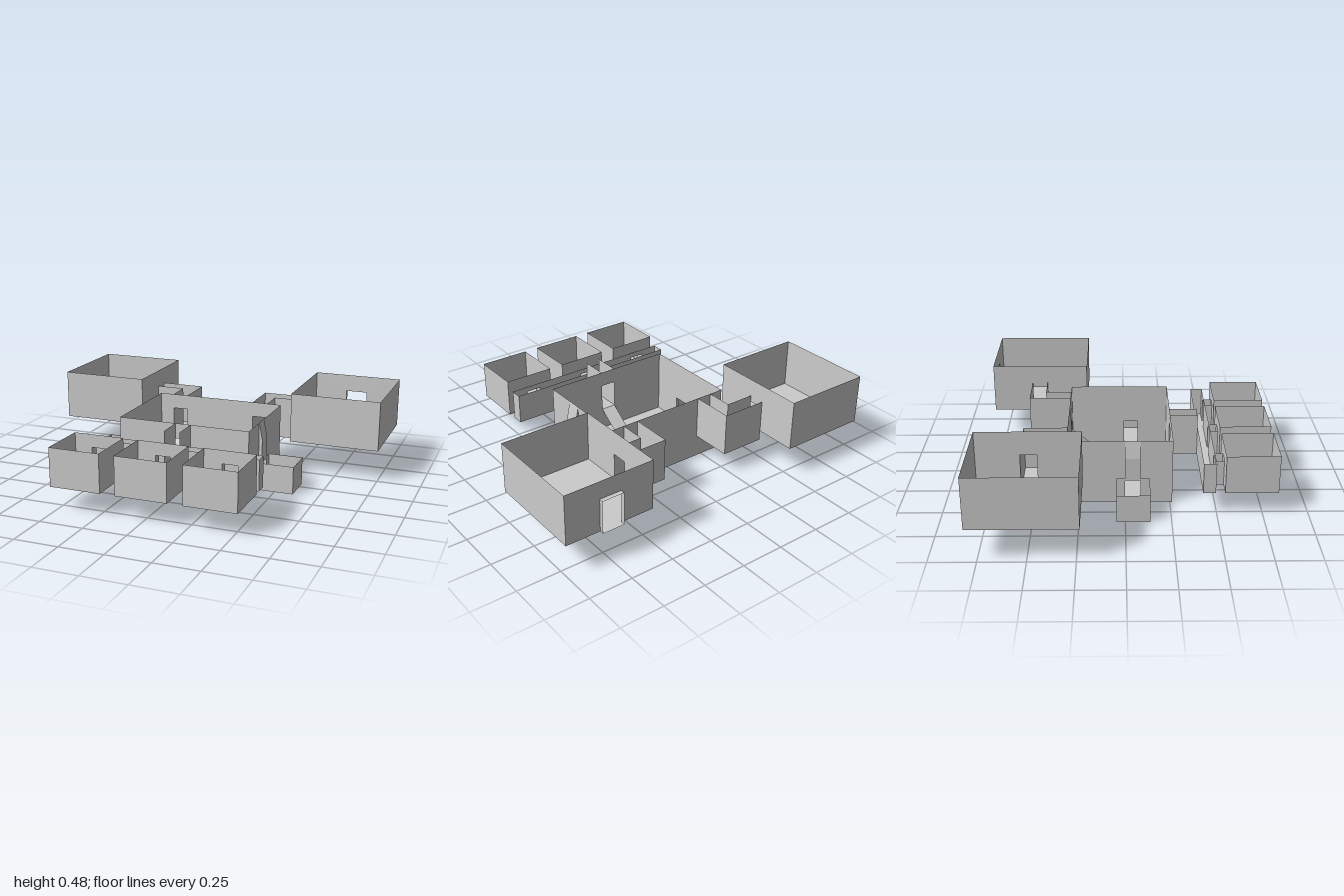
import * as THREE from 'three';

const material = new THREE.MeshStandardMaterial({ color: 0xcccccc, side: THREE.DoubleSide, flatShading: true });

function add(parent, name, geometry) {
  const mesh = new THREE.Mesh(geometry, material);
  mesh.name = name;
  parent.add(mesh);
  return mesh;
}

function group(parent, name) {
  const g = new THREE.Group();
  g.name = name;
  parent.add(g);
  return g;
}

// Thin upright wall along 'x' or 'z' at a fixed offset; doors are [from, to, bottom, top] in order
function wall(parent, name, axis, offset, a, b, y0, y1, doors = []) {
  const shape = new THREE.Shape();
  shape.moveTo(a, y0);
  for (const [d0, d1, bottom, top] of doors) {
    if (bottom > y0) {
      const hole = new THREE.Path();
      hole.moveTo(d0, bottom).lineTo(d0, top).lineTo(d1, top).lineTo(d1, bottom).closePath();
      shape.holes.push(hole);
    } else {
      shape.lineTo(d0, y0).lineTo(d0, top).lineTo(d1, top).lineTo(d1, y0);
    }
  }
  shape.lineTo(b, y0).lineTo(b, y1).lineTo(a, y1).closePath();
  const geometry = new THREE.ShapeGeometry(shape);
  if (axis === 'z') geometry.rotateY(-Math.PI / 2).translate(offset, 0, 0);
  else geometry.translate(0, 0, offset);
  return add(parent, name, geometry);
}

// Floor sheet; y may differ between its back (z0) and front (z1) edges to make a ramp
function floor(parent, name, x0, x1, z0, z1, yBack, yFront = yBack) {
  const geometry = new THREE.PlaneGeometry(x1 - x0, z1 - z0).rotateX(-Math.PI / 2);
  geometry.translate((x0 + x1) / 2, 0, (z0 + z1) / 2);
  const p = geometry.attributes.position;
  const mid = (z0 + z1) / 2;
  for (let i = 0; i < p.count; i++) p.setY(i, p.getZ(i) < mid ? yBack : yFront);
  geometry.computeVertexNormals();
  return add(parent, name, geometry);
}

// Roofless box; each side is a door list, or null for an open side
function room(parent, name, [x0, x1], [z0, z1], [y0, y1], sides = {}) {
  const { front = [], back = [], left = [], right = [] } = sides;
  const g = group(parent, name);
  floor(g, 'floor', x0, x1, z0, z1, y0);
  if (front) wall(g, 'frontWall', 'x', z1, x0, x1, y0, y1, front);
  if (back) wall(g, 'backWall', 'x', z0, x0, x1, y0, y1, back);
  if (left) wall(g, 'leftWall', 'z', x1, z0, z1, y0, y1, left);
  if (right) wall(g, 'rightWall', 'z', x0, z0, z1, y0, y1, right);
  return g;
}

export function createModel() {
  const model = new THREE.Group();
  model.name = 'roomComplex';
  const span = (s, a, b) => (s > 0 ? [a, b] : [-b, -a]);

  // Main hall with raised doors at front and back and low doors at the sides
  const sideDoor = [[0, 0.085, 0, 0.145]];
  const hall = room(model, 'mainHall', [-0.388, 0.388], [-0.32, 0.263], [0, 0.378], {
    front: [[-0.045, 0.045, 0.13, 0.29]],
    back: [[-0.305, -0.213, 0.13, 0.29], [0.213, 0.305, 0.13, 0.29]],
    left: sideDoor, right: sideDoor,
  });
  floor(hall, 'frontRamp', -0.045, 0.045, 0.085, 0.263, 0, 0.13);

  for (const s of [1, -1]) {
    const side = s > 0 ? 'left' : 'right';
    const inner = s > 0 ? 'right' : 'left';

    // Ramp up to the back door
    const [r0, r1] = span(s, 0.213, 0.305);
    floor(hall, side + 'BackRamp', r0, r1, -0.32, -0.16, 0.13, 0);

    // L-shaped corridor to the big room
    const corridor = group(model, side + 'BackCorridor');
    floor(corridor, 'firstFloor', r0, r1, -0.565, -0.32, 0.13);
    const [c0, c1] = span(s, 0.305, 0.478);
    floor(corridor, 'secondFloor', c0, c1, -0.565, -0.473, 0.13);
    const [o0, o1] = span(s, 0.213, 0.478);
    wall(corridor, 'backWall', 'x', -0.565, o0, o1, 0.13, 0.378);
    wall(corridor, 'frontWall', 'x', -0.473, c0, c1, 0.13, 0.378);
    wall(corridor, 'innerWall', 'z', s * 0.213, -0.565, -0.32, 0.13, 0.378);
    wall(corridor, 'outerWall', 'z', s * 0.305, -0.473, -0.32, 0.13, 0.378);
    wall(corridor, 'step', 'z', s * 0.478, -0.565, -0.473, 0.13, 0.188);

    // Big back room; only the left one has an outside door
    room(model, side + 'BigRoom', span(s, 0.478, 1), [-0.807, -0.23], [0.188, 0.478], {
      [inner]: [[-0.565, -0.473, 0.188, 0.34]],
      back: s > 0 ? [[0.672, 0.8, 0.188, 0.376]] : [],
    });

    // Small side room
    room(model, side + 'SmallRoom', span(s, 0.408, 0.607), [-0.047, 0.135], [0, 0.16], { [inner]: sideDoor });

    // Narrow tall passage with a steep sloping cover
    const passage = group(model, side + 'Passage');
    const [p0, p1] = span(s, 0.388, 0.408);
    floor(passage, 'floor', p0, p1, 0, 0.085, 0);
    wall(passage, 'outerFace', 'z', s * 0.408, 0, 0.085, 0.145, 0.28);
    const profile = new THREE.Shape([[0.388, 0], [0.408, 0], [0.408, 0.28], [0.388, 0.378]]
      .map(([x, y]) => new THREE.Vector2(s * x, y)));
    for (const z of [0, 0.085]) add(passage, 'sideWall', new THREE.ShapeGeometry(profile).translate(0, 0, z));
    const cover = new THREE.PlaneGeometry(0.085, Math.hypot(0.02, 0.098)).rotateY(s * Math.PI / 2);
    cover.rotateZ(s * Math.atan2(0.02, 0.098)).translate(s * 0.398, 0.329, 0.0425);
    add(passage, 'slopingCover', cover);
  }

  // Outside door frame of the left big room
  const frame = group(model, 'outsideDoorFrame');
  for (const x of [0.672, 0.8]) wall(frame, 'jamb', 'z', x, -0.832, -0.807, 0.188, 0.376);
  for (const y of [0.188, 0.376]) floor(frame, y < 0.2 ? 'threshold' : 'lintel', 0.672, 0.8, -0.832, -0.807, y);

  // Corridor from the hall to the cross corridor
  room(model, 'frontCorridor', [-0.045, 0.045], [0.263, 0.422], [0.13, 0.378], { front: null, back: null });

  // Cross corridor, with three linked front rooms
  const centres = [-0.381, 0, 0.381];
  const doorAt = (x) => [x - 0.045, x + 0.045, 0.13, 0.275];
  room(model, 'crossCorridor', [-0.525, 0.525], [0.422, 0.491], [0.13, 0.305], {
    front: centres.map(doorAt), back: [doorAt(0)],
  });
  for (const x of centres) {
    room(model, 'frontLink', [x - 0.045, x + 0.045], [0.491, 0.541], [0.13, 0.275], { front: null, back: null });
    room(model, 'frontRoom', [x - 0.147, x + 0.147], [0.541, 0.832], [0.13, 0.35], { back: [doorAt(x)] });
  }

  return model;
}
